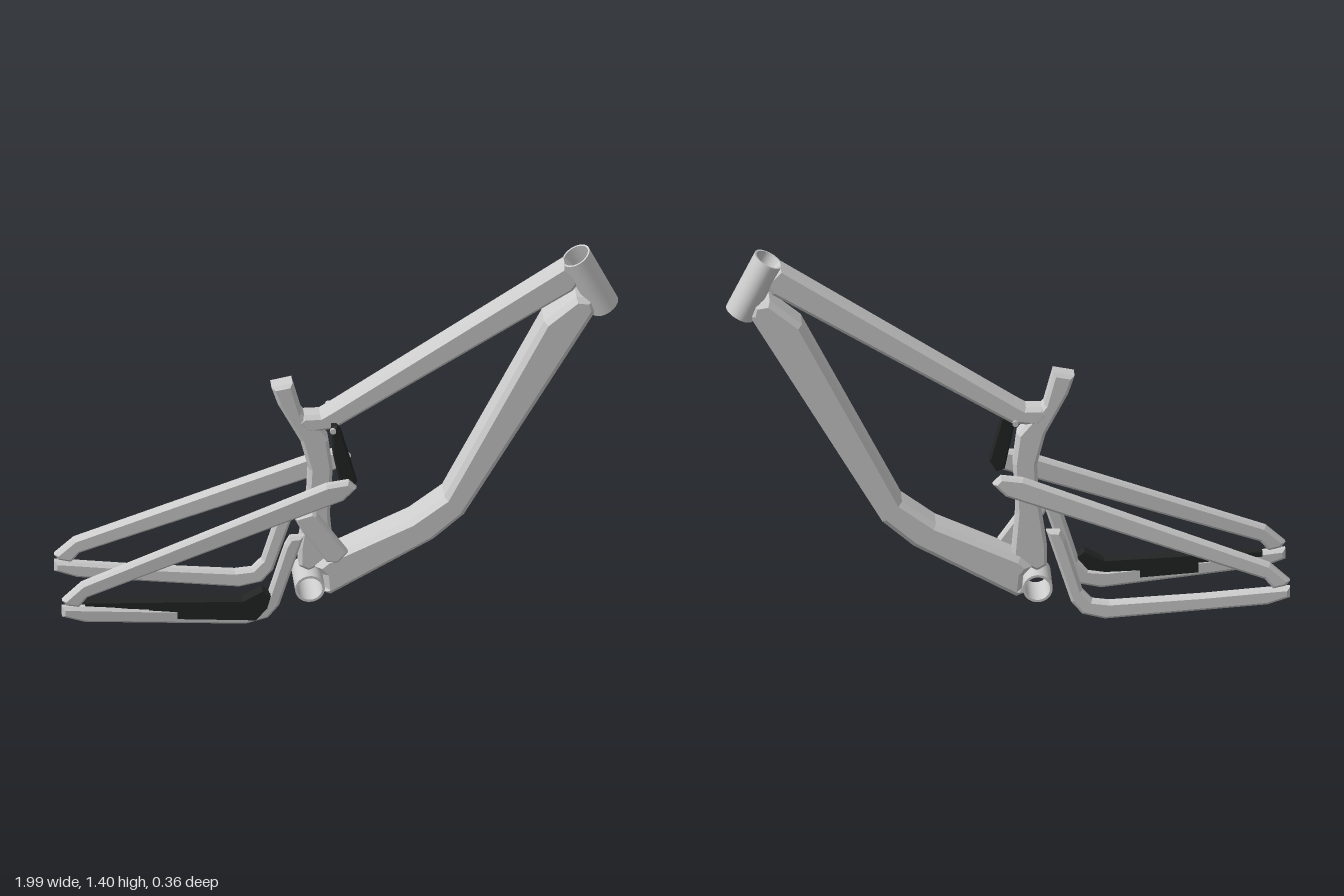
import * as THREE from 'three';

const grey = new THREE.MeshStandardMaterial({ color: 0xcccccc });
const dark = new THREE.MeshStandardMaterial({ color: 0x222424 });
const hollow = new THREE.MeshStandardMaterial({ color: 0xcccccc, side: THREE.DoubleSide });

// Side profile extruded from z0 to z1 with chamfered edges
function plate(name, points, z0, z1, chamfer, material = grey) {
  const shape = new THREE.Shape(points.map(([x, y]) => new THREE.Vector2(x, y)));
  const geometry = new THREE.ExtrudeGeometry(shape, {
    depth: z1 - z0 - 2 * chamfer,
    bevelEnabled: chamfer > 0,
    bevelThickness: chamfer,
    bevelSize: chamfer,
    bevelOffset: -chamfer,
    bevelSegments: 1,
  });
  geometry.translate(0, 0, z0 + chamfer);
  const mesh = new THREE.Mesh(geometry, material);
  mesh.name = name;
  return mesh;
}

// Stay on one side, splayed outwards towards the rear
function stay(name, points, side) {
  const mesh = plate(name, points, -0.02, 0.02, 0.011);
  const pos = mesh.geometry.attributes.position;
  for (let i = 0; i < pos.count; i++) {
    const splay = 0.11 + (0.05 - pos.getX(i)) * 0.047;
    pos.setZ(i, pos.getZ(i) + side * splay);
  }
  mesh.geometry.computeVertexNormals();
  return mesh;
}

// Open tube along y with a thin wall and flat rims
function openTube(name, radius, wall, length) {
  const h = length / 2, r = radius - wall;
  const group = new THREE.Group();
  const outer = new THREE.CylinderGeometry(radius, radius, length, 40, 1, true);
  const inner = new THREE.CylinderGeometry(r, r, length, 40, 1, true);
  group.add(new THREE.Mesh(outer, hollow), new THREE.Mesh(inner, hollow));
  for (const s of [-1, 1]) {
    const rim = new THREE.Mesh(new THREE.RingGeometry(r, radius, 40), hollow);
    rim.rotation.x = -s * Math.PI / 2;
    rim.position.y = s * h;
    group.add(rim);
  }
  group.name = name;
  return group;
}

export function createModel() {
  const model = new THREE.Group();

  // Main triangle
  model.add(plate('topTube', [
    [-0.157, 0.765], [-0.115, 0.718], [-0.02, 0.73], [0.83, 1.255], [0.86, 1.3], [0.8, 1.365],
    [-0.03, 0.815], [-0.07, 0.79], [-0.13, 0.79],
  ], -0.04, 0.04, 0.014));
  model.add(plate('downTube', [
    [-0.035, 0.06], [0.33, 0.267], [0.44, 0.364], [0.91, 1.18], [0.9, 1.23], [0.84, 1.24],
    [0.725, 1.144], [0.37, 0.44], [0.25, 0.35], [-0.05, 0.21], [-0.09, 0.175], [-0.06, 0.14],
    [-0.055, 0.09], [-0.07, 0.075],
  ], -0.062, 0.062, 0.018));
  model.add(plate('seatTube', [
    [-0.243, 0.91], [-0.22, 0.84], [-0.14, 0.685], [-0.11, 0.567], [-0.115, 0.46], [-0.145, 0.25],
    [-0.145, 0.17], [-0.11, 0.15], [-0.02, 0.2], [-0.035, 0.38], [-0.025, 0.567], [-0.04, 0.685],
    [-0.135, 0.8], [-0.168, 0.925],
  ], -0.038, 0.038, 0.012));

  // Slightly oval head tube
  const headTube = openTube('headTube', 0.065, 0.008, 0.232);
  headTube.scale.x = 0.83;
  headTube.position.set(0.893, 1.278, 0);
  headTube.rotation.z = Math.atan2(0.102, 0.208);
  model.add(headTube);

  const bracketShell = openTube('bottomBracketShell', 0.053, 0.009, 0.146);
  bracketShell.rotation.x = Math.PI / 2;
  bracketShell.position.set(-0.11, 0.1, 0);
  model.add(bracketShell);

  // Rear stays and pivot pins on both sides
  const upper = [
    [-1, 0.155], [-0.985, 0.135], [-0.94, 0.125], [-0.91, 0.162], [0.005, 0.487], [0.052, 0.535],
    [0.024, 0.565], [-0.056, 0.556], [-0.93, 0.22],
  ];
  const lower = [
    [-1, 0.09], [-0.92, 0.062], [-0.345, 0.008], [-0.265, 0.027], [-0.225, 0.075], [-0.137, 0.353],
    [-0.187, 0.353], [-0.205, 0.32], [-0.265, 0.12], [-0.3, 0.082], [-0.36, 0.075], [-0.69, 0.1],
    [-0.92, 0.123], [-1, 0.13],
  ];
  for (const side of [1, -1]) {
    const label = side > 0 ? 'front' : 'back';
    model.add(stay(label + 'SeatStay', upper, side), stay(label + 'ChainStay', lower, side));
    const pin = new THREE.Mesh(new THREE.CylinderGeometry(0.011, 0.011, 0.01, 16), grey);
    pin.name = label + 'PivotPin';
    pin.rotation.x = Math.PI / 2;
    pin.position.set(-0.03, 0.76, side * 0.095);
    model.add(pin);
  }

  // Suspension links and chain guard on the front side
  model.add(plate('lowerLink', [
    [-0.165, 0.39], [-0.14, 0.34], [-0.05, 0.205], [-0.01, 0.2], [0.026, 0.24], [-0.085, 0.4], [-0.1, 0.41],
  ], 0.035, 0.074, 0.008));
  model.add(plate('upperLink', [
    [-0.035, 0.775], [-0.03, 0.66], [0.0, 0.51], [0.03, 0.5], [0.056, 0.545], [0.0, 0.755], [-0.015, 0.775],
  ], 0.058, 0.092, 0.006, dark));
  model.add(plate('chainGuard', [
    [-0.917, 0.116], [-0.69, 0.098], [-0.69, 0.06], [-0.31, 0.033], [-0.27, 0.08], [-0.257, 0.128],
    [-0.286, 0.15], [-0.355, 0.112], [-0.917, 0.134],
  ], 0.115, 0.16, 0, dark));

  return model;
}
